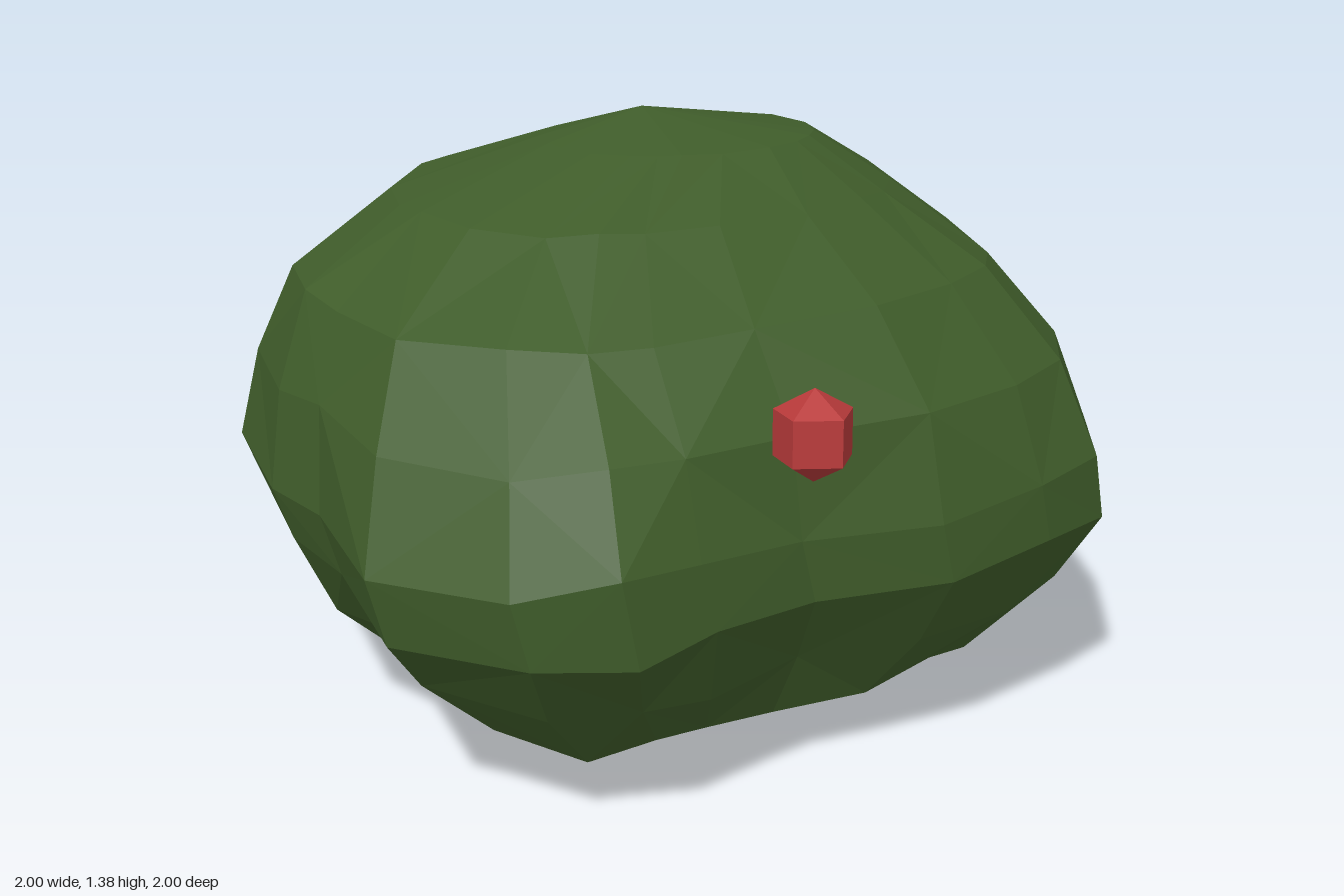
import * as THREE from 'three';

// Widest outline of the bush seen from above, as x, z pairs
const OUTLINE = [
  [-0.46, -1], [-0.2, -0.9], [0.04, -0.87], [0.48, -0.72], [0.68, -0.58], [0.92, -0.24],
  [1, 0.14], [0.95, 0.38], [0.78, 0.52], [0.52, 0.67], [0.2, 0.74], [-0.03, 0.88],
  [-0.2, 0.97], [-0.42, 1], [-0.7, 0.8], [-0.8, 0.45], [-0.91, 0.28], [-1, -0.07],
  [-0.89, -0.45], [-0.85, -0.7], [-0.69, -0.93],
];

// Cross-sections: height, x min, x max, z min, z max, roundness, diagonal skew
const SECTIONS = [
  [0.06, -0.35, 0.08, -0.25, 0.22, 0.6, 0],
  [0.165, -0.66, 0.7, -0.7, 0.73, 0.1, 0],
  [0.31, -0.87, 0.91, -0.92, 0.87, 0, 0],
  [0.5, -0.96, 0.995, -1, 1, 0, 0],
  [0.65, -1, 0.97, -0.98, 1, 0, 0],
  [0.85, -0.95, 0.9, -0.88, 0.86, 0.3, 0.1],
  [1.04, -0.86, 0.75, -0.74, 0.66, 0.55, 0.14],
  [1.2, -0.63, 0.53, -0.6, 0.39, 0.75, 0.14],
  [1.31, -0.28, 0.35, -0.35, 0.14, 0.9, 0.1],
];
const BOTTOM = [-0.08, 0, -0.03];
const TOP = [-0.05, 1.375, -0.1];

function seeded(seed) {
  return () => {
    seed = (seed * 16807) % 2147483647;
    return seed / 2147483647;
  };
}

// One ring: the outline, blended with a skewed oval and fitted to the extents of its section
function makeRing([y, x0, x1, z0, z1, round, skew], random) {
  const pts = OUTLINE.map(([x, z]) => {
    const t = Math.atan2(z, x);
    return [
      THREE.MathUtils.lerp(x, Math.cos(t + skew / 2), round),
      THREE.MathUtils.lerp(z, Math.sin(t - skew / 2), round),
    ];
  });
  const xs = pts.map(p => p[0]);
  const zs = pts.map(p => p[1]);
  const fit = (v, list, a, b) =>
    THREE.MathUtils.mapLinear(v, Math.min(...list), Math.max(...list), a, b);
  return pts.map(([x, z]) => [
    fit(x, xs, x0, x1),
    y + (random() - 0.5) * 0.05 * (1 - round),
    fit(z, zs, z0, z1),
  ]);
}

function makeBushGeometry() {
  const random = seeded(41);
  const rings = SECTIONS.map(s => makeRing(s, random));
  const n = OUTLINE.length;
  const vertices = [BOTTOM, ...rings.flat(), TOP];
  const last = vertices.length - 1;
  const at = (ring, i) => 1 + ring * n + (i % n);
  const index = [];
  for (let i = 0; i < n; i++) {
    index.push(0, at(0, i), at(0, i + 1));
    for (let r = 0; r < rings.length - 1; r++) {
      const a = at(r, i), b = at(r, i + 1), c = at(r + 1, i + 1), d = at(r + 1, i);
      // alternate diagonals for irregular facets
      if ((i + r) % 2) index.push(a, d, b, b, d, c);
      else index.push(a, d, c, a, c, b);
    }
    index.push(last, at(rings.length - 1, i + 1), at(rings.length - 1, i));
  }
  const geometry = new THREE.BufferGeometry();
  geometry.setAttribute('position', new THREE.Float32BufferAttribute(vertices.flat(), 3));
  geometry.setIndex(index);
  const facets = geometry.toNonIndexed();
  facets.computeVertexNormals();
  return facets;
}

export function createModel() {
  const group = new THREE.Group();
  group.name = 'berryBush';

  const leafGreen = new THREE.MeshStandardMaterial({ color: 0x3f5c2a, flatShading: true });
  leafGreen.name = 'leaf green';
  const berryRed = new THREE.MeshStandardMaterial({ color: 0xb83a3a, flatShading: true });
  berryRed.name = 'berry red';

  // Lumpy body of leaves
  const foliage = new THREE.Mesh(makeBushGeometry(), leafGreen);
  foliage.name = 'foliage';
  group.add(foliage);

  // Five-sided berry on the front
  const berry = new THREE.Mesh(new THREE.SphereGeometry(0.098, 5, 3), berryRed);
  berry.name = 'berry';
  berry.position.set(0.197, 0.876, 0.762);
  berry.rotation.set(0, -Math.PI / 2 - 0.08, 0.06);
  group.add(berry);

  return group;
}
